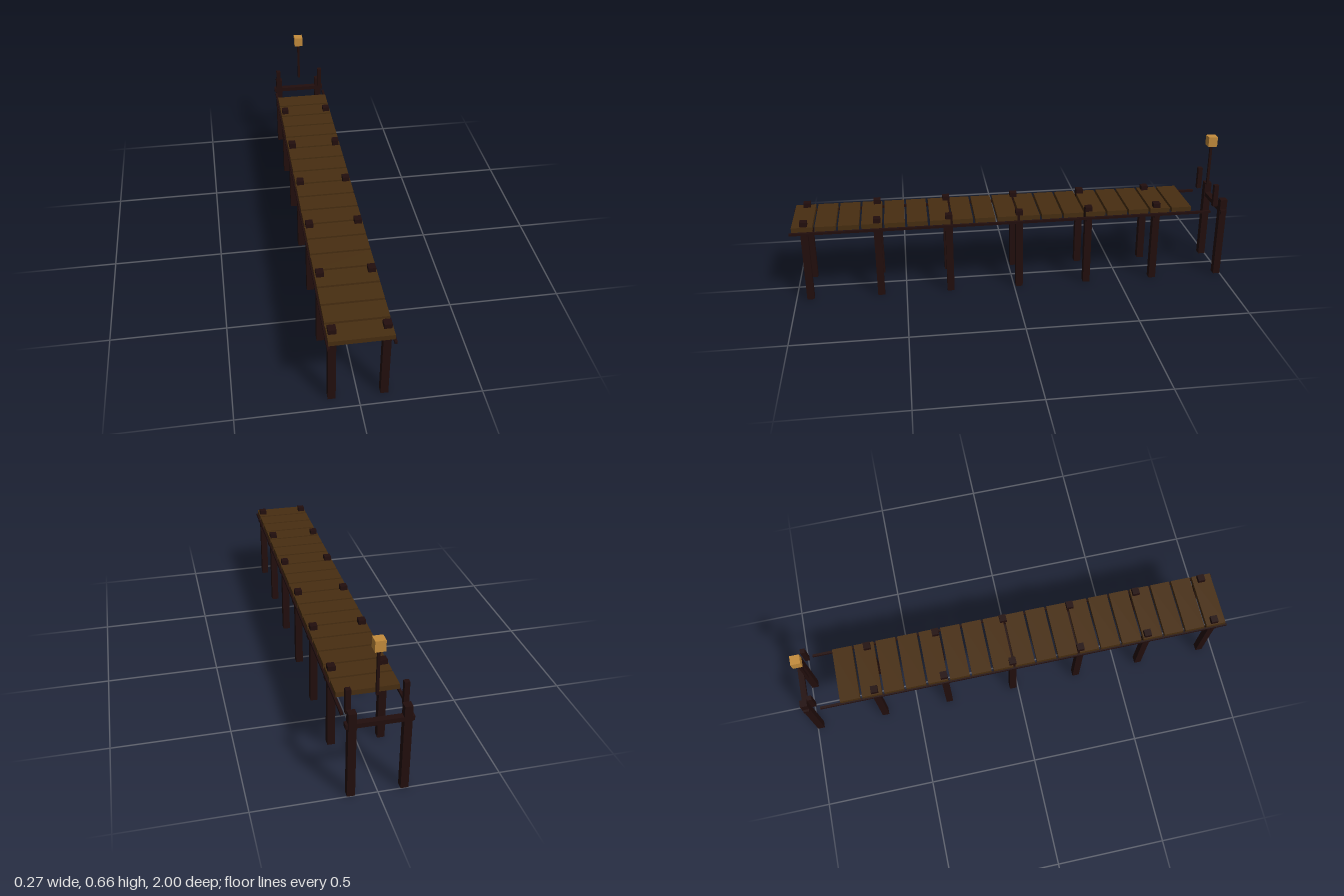
import * as THREE from 'three';

const plankWood = new THREE.MeshStandardMaterial({ color: 0x482e11 });
plankWood.name = 'plank wood';
const darkWood = new THREE.MeshStandardMaterial({ color: 0x220e0d });
darkWood.name = 'dark wood';
const lampGlow = new THREE.MeshStandardMaterial({ color: 0xc48c3c });
lampGlow.name = 'lamp glow';

export function createModel() {
  const pier = new THREE.Group();
  pier.name = 'pier';

  // Adds a box given its size, its centre in x and z, and its bottom height
  const box = (name, material, [w, h, d], x, bottom, z) => {
    const mesh = new THREE.Mesh(new THREE.BoxGeometry(w, h, d), material);
    mesh.name = name;
    mesh.position.set(x, bottom + h / 2, z);
    pier.add(mesh);
  };

  // Deck planks with narrow gaps
  for (let i = 0; i < 18; i++) {
    box('plank', plankWood, [0.256, 0.022, 0.091], 0, 0.341, 0.943 - i * 0.1013);
  }

  // Pairs of piles, each tied by a crossbeam
  for (let i = 0; i < 7; i++) {
    const z = 0.936 - i * 0.32;
    for (const side of [-1, 1]) {
      box('pile', darkWood, [0.032, 0.384, 0.032], side * 0.107, 0, z);
    }
    box('crossbeam', darkWood, [0.266, 0.02, 0.026], 0, 0.317, z);
  }

  // Long side rails and short mooring posts at the far end
  for (const side of [-1, 1]) {
    box('sideRail', darkWood, [0.011, 0.011, 1.92], side * 0.128, 0.327, 0.04);
    box('mooringPost', darkWood, [0.021, 0.105, 0.021], side * 0.112, 0.354, -0.942);
  }

  // Lantern on its pole
  box('lampPole', darkWood, [0.011, 0.196, 0.011], 0, 0.416, -0.942);
  box('lantern', lampGlow, [0.042, 0.046, 0.042], 0, 0.612, -0.942);

  return pier;
}
